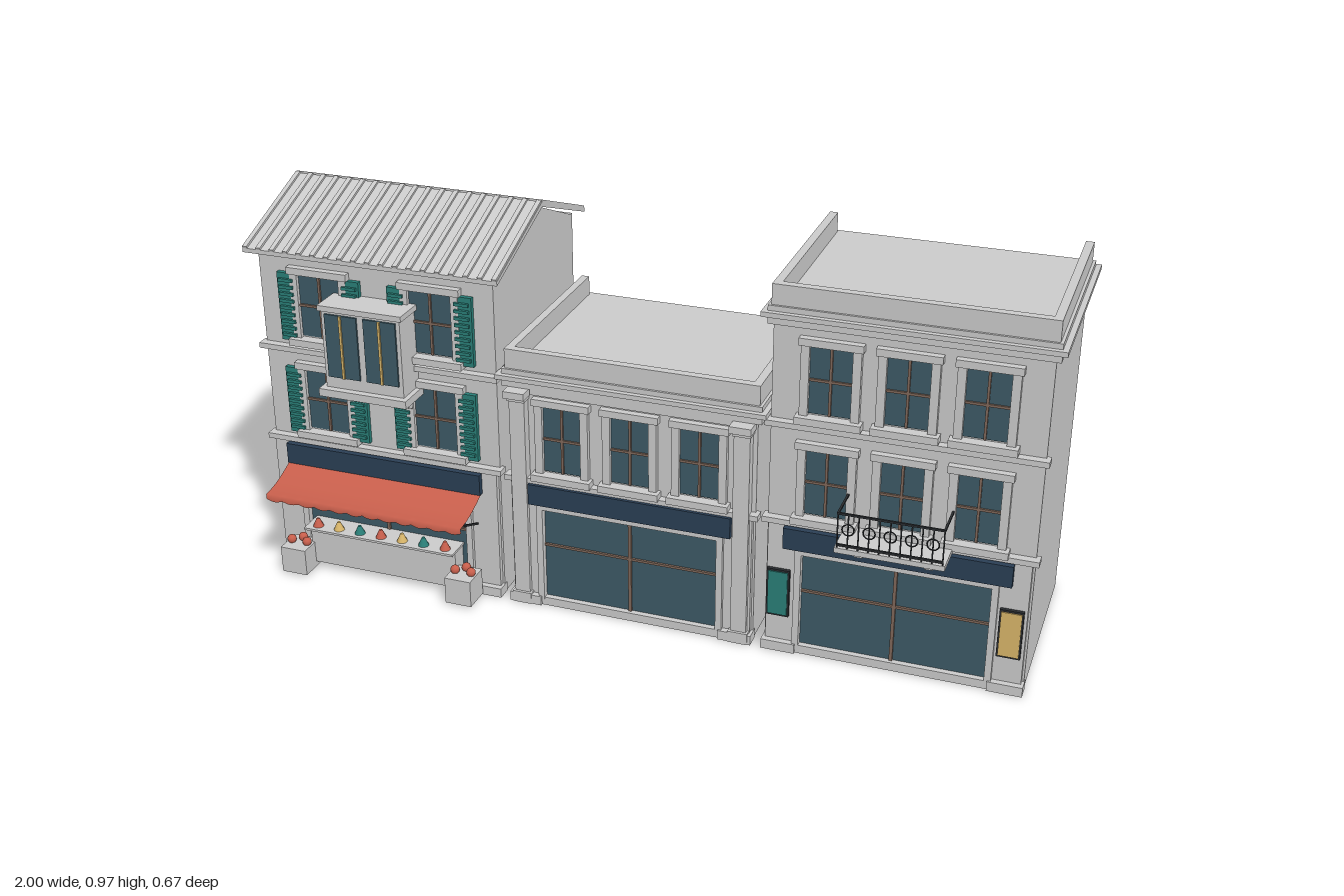
import * as THREE from 'three';

const mat = (color) => new THREE.MeshStandardMaterial({ color });
const GREY = mat(0xcccccc), GLASS = mat(0x3d5a66), NAVY = mat(0x2a3f55), TEAL = mat(0x2a7f78);
const RED = mat(0xc85f4c), GOLD = mat(0xd9b66a), DARK = mat(0x2a2d30), BROWN = mat(0x80685a);
const AWNING = new THREE.MeshStandardMaterial({ color: 0xc85f4c, side: THREE.DoubleSide });

function add(parent, name, geometry, material = GREY, x = 0, y = 0, z = 0) {
  const m = new THREE.Mesh(geometry, material);
  m.name = name;
  m.position.set(x, y, z);
  parent.add(m);
  return m;
}

// Box given by its limits along each axis
function box(parent, name, x0, x1, y0, y1, z0, z1, material) {
  return add(parent, name, new THREE.BoxGeometry(x1 - x0, y1 - y0, z1 - z0), material,
    (x0 + x1) / 2, (y0 + y1) / 2, (z0 + z1) / 2);
}

function group(parent, name, x = 0, y = 0, z = 0) {
  const g = new THREE.Group();
  g.name = name;
  g.position.set(x, y, z);
  parent.add(g);
  return g;
}

// Square bar of thickness t between two points of the parent's own frame
function bar(parent, name, a, b, t, material) {
  const p = new THREE.Vector3(...a), d = new THREE.Vector3(...b).sub(p);
  const m = add(parent, name, new THREE.BoxGeometry(t, t, d.length()), material);
  m.position.copy(p).addScaledVector(d, 0.5);
  m.quaternion.setFromUnitVectors(new THREE.Vector3(0, 0, 1), d.normalize());
}

// Side profile of (z, y) points drawn out along x
function profile(parent, name, points, x0, x1) {
  const shape = new THREE.Shape(points.map(([z, y]) => new THREE.Vector2(z, y)));
  const geo = new THREE.ExtrudeGeometry(shape, { depth: x1 - x0, bevelEnabled: false });
  geo.rotateY(-Math.PI / 2);
  add(parent, name, geo, GREY, x1);
}

// Cross-paned window with frame, lintel and sill; y is the bottom of the glass
function windowUnit(parent, x, y, w, h, shutters) {
  const g = group(parent, 'window', x, y, 0.19), a = w / 2;
  box(g, 'glass', -a, a, 0, h, -0.005, 0.003, GLASS);
  for (const s of [-1, 1]) {
    const f = s * (a + 0.007);
    box(g, 'frameSide', f - 0.01, f + 0.01, -0.004, h, 0, 0.013);
    if (!shutters) continue;
    const c = s * (a + 0.027);
    box(g, 'shutter', c - 0.025, c + 0.025, -0.015, h, 0, 0.012, TEAL);
    for (let i = 0; i < 9; i++) {
      const yy = 0.002 + i * (h - 0.02) / 8;
      box(g, 'louvre', c - 0.019, c + 0.019, yy - 0.004, yy + 0.004, 0.01, 0.019, TEAL);
    }
  }
  box(g, 'mullion', -0.003, 0.003, 0, h, 0, 0.008, BROWN);
  box(g, 'transom', -a, a, h * 0.5 - 0.003, h * 0.5 + 0.003, 0, 0.008, BROWN);
  box(g, 'lintel', -a - 0.022, a + 0.022, h, h + 0.018, 0, 0.018);
  box(g, 'sill', -a - 0.025, a + 0.025, -0.022, -0.004, 0, 0.028);
}

// Shared shell: body, plinth, shop front and sign board
function shell(parent, name, x, top, signHalf) {
  const g = group(parent, name, x);
  box(g, 'body', -0.315, 0.315, 0.001, top, -0.31, 0.19);
  for (const s of [-1, 1]) {
    const p = s * 0.275;
    box(g, 'plinth', p - 0.042, p + 0.042, 0, 0.025, 0.18, 0.22);
    box(g, 'shopPilaster', p - 0.035, p + 0.035, 0.025, 0.345, 0.18, 0.204);
    box(g, 'shopFrameSide', s * 0.233 - 0.008, s * 0.233 + 0.008, 0.01, 0.285, 0.18, 0.215);
  }
  box(g, 'threshold', -0.24, 0.24, 0, 0.022, 0.18, 0.213);
  box(g, 'shopGlass', -0.226, 0.226, 0.02, 0.275, 0.18, 0.198, GLASS);
  box(g, 'shopFrameTop', -0.24, 0.24, 0.272, 0.287, 0.18, 0.215);
  box(g, 'shopMullion', -0.004, 0.004, 0.02, 0.275, 0.19, 0.204, BROWN);
  box(g, 'shopTransom', -0.226, 0.226, 0.167, 0.173, 0.19, 0.204, BROWN);
  box(g, 'signBoard', -signHalf, signHalf, 0.285, 0.34, 0.19, 0.219, NAVY);
  return g;
}

function band(g, y) {
  box(g, 'stringCourse', -0.325, 0.325, y - 0.006, y + 0.008, 0.18, 0.211);
}

// Stepped cornice with a parapet open at the back
function flatRoof(g, top) {
  for (const [y0, y1, o] of [[-0.095, -0.08, 0.012], [-0.08, -0.075, 0.006], [-0.075, -0.063, 0.025], [-0.063, -0.05, 0.012]])
    box(g, 'cornice', -0.315 - o, 0.315 + o, top + y0, top + y1, -0.31 - o, 0.19 + o);
  box(g, 'frontParapet', -0.32, 0.32, top - 0.05, top, 0.175, 0.196);
  for (const s of [-1, 1])
    box(g, 'sideParapet', s * 0.31 - 0.01, s * 0.31 + 0.01, top - 0.05, top, -0.31, 0.175);
}

function grocery(root) {
  const g = shell(root, 'groceryHouse', -0.66, 0.855, 0.27);
  band(g, 0.602); band(g, 0.35);
  for (const y of [0.385, 0.64]) for (const s of [-1, 1]) windowUnit(g, s * 0.15, y, 0.12, 0.165, true);

  // Gabled roof with ribs on both slopes
  profile(g, 'gable', [[0.19, 0.85], [-0.06, 0.958], [-0.31, 0.85]], -0.315, 0.315);
  profile(g, 'roof', [[0.22, 0.853], [0.22, 0.864], [-0.06, 0.97], [-0.335, 0.864], [-0.335, 0.853], [-0.06, 0.957]], -0.34, 0.34);
  for (let i = 0; i < 19; i++) {
    const x = -0.333 + i * 0.666 / 18;
    bar(g, 'roofRib', [x, 0.864, 0.22], [x, 0.969, -0.06], 0.012);
    bar(g, 'roofRib', [x, 0.864, -0.333], [x, 0.969, -0.06], 0.012);
  }

  // Bay window on brackets
  const b = group(g, 'bayWindow');
  box(b, 'bayBody', -0.105, 0.105, 0.55, 0.755, 0.19, 0.272);
  box(b, 'bayTop', -0.112, 0.112, 0.752, 0.766, 0.19, 0.278);
  box(b, 'baySlab', -0.118, 0.118, 0.53, 0.55, 0.19, 0.29);
  for (const s of [-1, 1]) {
    box(b, 'bayGlass', s * 0.052 - 0.043, s * 0.052 + 0.043, 0.58, 0.745, 0.26, 0.277, GLASS);
    box(b, 'bayMullion', s * 0.052 - 0.003, s * 0.052 + 0.003, 0.58, 0.745, 0.27, 0.281, GOLD);
    bar(b, 'bayBracket', [s * 0.085, 0.497, 0.205], [s * 0.085, 0.535, 0.268], 0.014);
  }

  // Sagging awning with a scalloped front edge and arms
  const nx = 64, nz = 8;
  const cloth = new THREE.PlaneGeometry(0.54, 1, nx, nz + 1), p = cloth.attributes.position;
  for (let i = 0; i < p.count; i++) {
    const row = Math.floor(i / (nx + 1)), x = p.getX(i), t = Math.min(row / nz, 1);
    const drop = row > nz ? 0.014 + 0.006 * Math.abs(Math.sin(x / 0.54 * Math.PI * 12)) : 0;
    p.setXYZ(i, x, 0.287 - 0.035 * Math.sin(t * Math.PI / 2) - drop, 0.208 + 0.127 * t);
  }
  cloth.computeVertexNormals();
  add(g, 'awning', cloth, AWNING);
  for (const s of [-1, 1]) {
    bar(g, 'awningArm', [s * 0.255, 0.198, 0.208], [s * 0.255, 0.25, 0.328], 0.005, DARK);
    // Fruit crate
    const c = group(g, 'fruitCrate', s * 0.233, 0, 0.26);
    box(c, 'crate', -0.035, 0.035, 0.006, 0.077, -0.036, 0.036);
    for (const [x, z] of [[-0.022, 0], [0, -0.02], [0.022, 0]])
      add(c, 'fruit', new THREE.SphereGeometry(0.012, 12, 8), RED, x, 0.085, z);
  }

  // Counter with a display shelf
  box(g, 'counter', -0.205, 0.205, 0.02, 0.125, 0.19, 0.244);
  box(g, 'shelf', -0.21, 0.21, 0.125, 0.131, 0.2, 0.27);
  for (let i = 0; i < 7; i++)
    add(g, 'produce', new THREE.CylinderGeometry(0.004, 0.014, 0.022, 10), [RED, GOLD, TEAL][i % 3], -0.18 + i * 0.06, 0.142, 0.247);
}

function theatre(root) {
  const g = shell(root, 'theatre', 0, 0.6, 0.26);
  flatRoof(g, 0.685);
  band(g, 0.345);
  for (const x of [-0.175, 0, 0.175]) windowUnit(g, x, 0.372, 0.104, 0.178, false);
  // Giant pilasters
  for (const s of [-1, 1]) {
    const x = s * 0.284;
    box(g, 'pilaster', x - 0.02, x + 0.02, 0.02, 0.575, 0.185, 0.215);
    box(g, 'capital', x - 0.027, x + 0.027, 0.572, 0.59, 0.185, 0.234);
    box(g, 'capitalNeck', x - 0.023, x + 0.023, 0.56, 0.572, 0.185, 0.221);
    box(g, 'pilasterBase', x - 0.025, x + 0.025, 0, 0.03, 0.185, 0.222);
  }
  box(g, 'frieze', -0.255, 0.255, 0.575, 0.59, 0.185, 0.2);
}

function gallery(root) {
  const g = shell(root, 'gallery', 0.66, 0.855, 0.27);
  flatRoof(g, 0.94);
  band(g, 0.602); band(g, 0.35);
  for (const y of [0.375, 0.635]) for (const x of [-0.177, 0, 0.177]) windowUnit(g, x, y, 0.106, 0.17, false);
  // Posters in dark frames
  for (const [x, m] of [[-0.28, TEAL], [0.275, GOLD]]) {
    box(g, 'posterFrame', x - 0.028, x + 0.028, 0.095, 0.222, 0.2, 0.213, DARK);
    box(g, 'poster', x - 0.024, x + 0.024, 0.1, 0.217, 0.205, 0.216, m);
  }
  // Balcony with iron railing
  const b = group(g, 'balcony');
  box(b, 'balconySlab', -0.128, 0.128, 0.345, 0.358, 0.19, 0.298);
  for (const s of [-1, 1]) {
    box(b, 'balconyBracket', s * 0.082 - 0.01, s * 0.082 + 0.01, 0.31, 0.345, 0.19, 0.244);
    bar(b, 'sideRail', [s * 0.122, 0.447, 0.19], [s * 0.122, 0.447, 0.297], 0.005, DARK);
  }
  for (const y of [0.366, 0.447]) bar(b, 'frontRail', [-0.122, y, 0.295], [0.122, y, 0.295], 0.005, DARK);
  for (let i = 0; i < 11; i++) {
    const x = -0.122 + i * 0.0244;
    bar(b, 'baluster', [x, 0.358, 0.295], [x, 0.447, 0.295], 0.003, DARK);
  }
  for (let i = 0; i < 5; i++)
    add(b, 'railingRing', new THREE.TorusGeometry(0.014, 0.0018, 6, 18), DARK, -0.0976 + i * 0.0488, 0.407, 0.295);
}

export function createModel() {
  const root = new THREE.Group();
  root.name = 'streetRow';
  grocery(root);
  theatre(root);
  gallery(root);
  return root;
}
